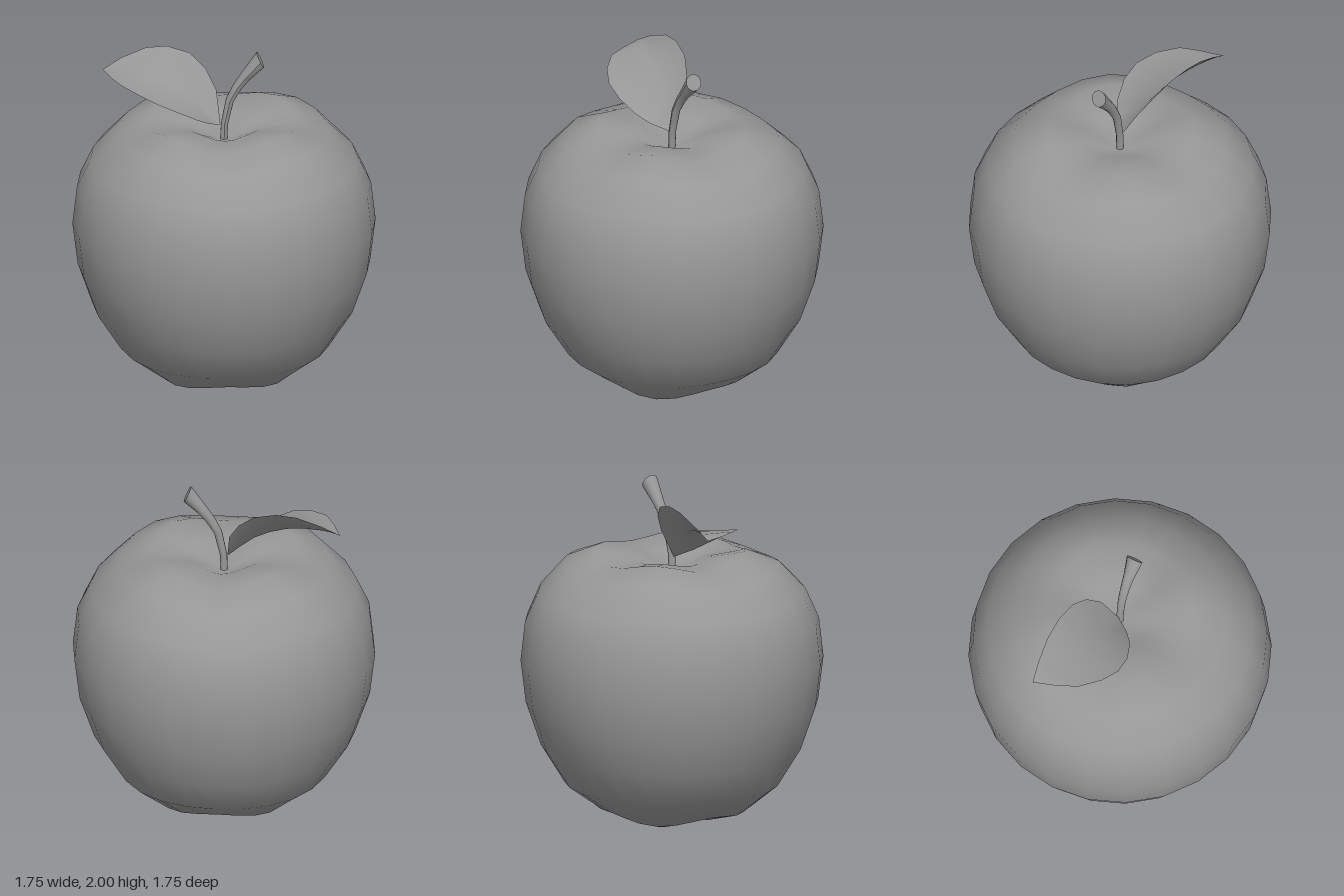
import * as THREE from 'three';
import { mergeVertices } from 'three/addons/utils/BufferGeometryUtils.js';

const skin = new THREE.MeshStandardMaterial({ color: 0x979797 });
const leafSkin = new THREE.MeshStandardMaterial({ color: 0x979797, side: THREE.DoubleSide });

// Weld seams and recompute smooth normals
function smooth(geometry) {
  geometry.deleteAttribute('uv');
  geometry.deleteAttribute('normal');
  const welded = mergeVertices(geometry, 1e-4);
  welded.computeVertexNormals();
  return welded;
}

function part(name, geometry, material) {
  const mesh = new THREE.Mesh(geometry, material);
  mesh.name = name;
  return mesh;
}

// Fruit: a 24-sided lathe whose rings rise and fall in four diagonal lobes
function makeFruit() {
  // radius, height, lobe height
  const rings = [
    [0, 0.055, 0], [0.225, 0.02, -0.02], [0.415, 0.069, -0.018], [0.62, 0.225, -0.005],
    [0.757, 0.447, 0], [0.843, 0.7, 0], [0.873, 0.95, 0], [0.847, 1.18, 0],
    [0.77, 1.35, 0.008], [0.617, 1.508, 0.022], [0.43, 1.579, 0.026],
    [0.2, 1.548, 0.009], [0, 1.46, 0],
  ];
  const sides = 24;
  const geometry = new THREE.LatheGeometry(rings.map(([r, y]) => new THREE.Vector2(r, y)), sides);
  const pos = geometry.attributes.position;
  for (let i = 0; i < pos.count; i++) {
    const turn = Math.floor(i / rings.length) / sides * Math.PI * 2;
    pos.setY(i, pos.getY(i) - rings[i % rings.length][2] * Math.cos(4 * turn));
  }
  return part('fruit', smooth(geometry), skin);
}

// Stem: a cylinder bent ring by ring, widening to an obliquely cut end
function makeStem() {
  // centre x, y, z, radius, lean towards +x
  const rings = [
    [0, 1.45, 0, 0.021, 0], [0.002, 1.56, 0, 0.021, 0.05], [0.034, 1.71, -0.005, 0.024, 0.35],
    [0.08, 1.793, -0.009, 0.028, 0.55], [0.125, 1.853, -0.011, 0.032, 0.7],
    [0.21, 1.953, -0.015, 0.05, 1.13],
  ];
  const last = rings.length - 1;
  const geometry = new THREE.CylinderGeometry(1, 1, last, 10, last);
  const pos = geometry.attributes.position;
  for (let i = 0; i < pos.count; i++) {
    const [x, y, z, r, lean] = rings[Math.round(pos.getY(i) + last / 2)];
    const across = pos.getX(i) * r;
    pos.setXYZ(i, x + across * Math.cos(lean), y - across * Math.sin(lean), z + pos.getZ(i) * r);
  }
  geometry.computeVertexNormals();
  return part('stem', geometry, skin);
}

// Leaf: cross-sections of raised back edge, midrib and front edge, from base to tip
function makeLeaf() {
  const base = [-0.02, 1.555, 0], tip = [-0.69, 1.825, -0.205];
  const sections = [
    [base, base, base],
    [[-0.04, 1.73, -0.1], [-0.09, 1.625, -0.02], [-0.09, 1.6, 0.09]],
    [[-0.1, 1.84, -0.165], [-0.18, 1.705, -0.045], [-0.16, 1.65, 0.15]],
    [[-0.19, 1.92, -0.207], [-0.27, 1.76, -0.075], [-0.27, 1.715, 0.19]],
    [[-0.32, 1.955, -0.23], [-0.37, 1.802, -0.105], [-0.38, 1.765, 0.19]],
    [[-0.44, 1.945, -0.235], [-0.47, 1.825, -0.135], [-0.49, 1.803, 0.135]],
    [[-0.58, 1.89, -0.224], [-0.58, 1.836, -0.17], [-0.59, 1.825, 0.04]],
    [[-0.64, 1.855, -0.214], [-0.64, 1.833, -0.187], [-0.643, 1.825, -0.07]],
    [tip, tip, tip],
  ];
  const index = [];
  for (let i = 0; i < sections.length - 1; i++) {
    for (let j = 0; j < 2; j++) {
      const a = i * 3 + j, b = a + 1, c = a + 3, d = a + 4;
      index.push(a, c, b, b, c, d);
    }
  }
  const geometry = new THREE.BufferGeometry();
  geometry.setAttribute('position', new THREE.Float32BufferAttribute(sections.flat(2), 3));
  geometry.setIndex(index);
  return part('leaf', smooth(geometry), leafSkin);
}

export function createModel() {
  const model = new THREE.Group();
  model.name = 'apple';
  model.add(makeFruit(), makeStem(), makeLeaf());
  return model;
}
